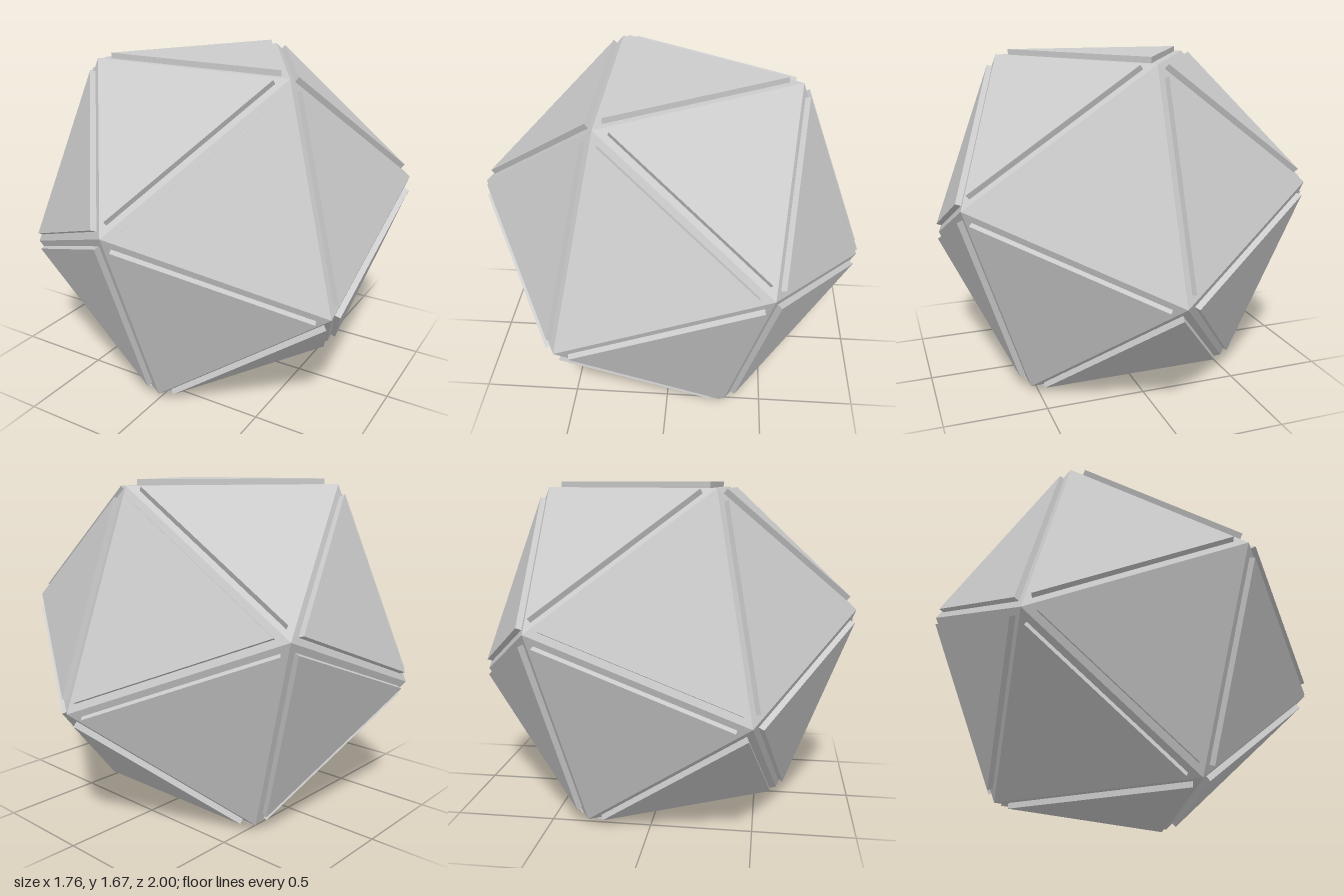
import * as THREE from 'three';
import { ConvexGeometry } from 'three/addons/geometries/ConvexGeometry.js';

const PHI = (1 + Math.sqrt(5)) / 2;
const THICK = 0.028;       // height of the raised plates
const INSET = 0.889;       // plate size relative to a face
const INRADIUS = PHI / 2;  // centre to face when the widest ring has radius 1
const CENTRE_Y = INRADIUS + THICK;

export function createModel() {
  const group = new THREE.Group();
  const material = new THREE.MeshStandardMaterial({ color: 0xcccccc, flatShading: true });
  const add = (geometry, name) => {
    const mesh = new THREE.Mesh(geometry, material);
    mesh.name = name;
    mesh.position.y = CENTRE_Y;
    group.add(mesh);
  };

  // Icosahedron resting on a face: four triangular rings of corners [radius, y, start angle]
  const midY = INRADIUS / (PHI * PHI * PHI);
  const rings = [
    [1 / PHI, INRADIUS, 0],
    [1, midY, Math.PI / 3],
    [1, -midY, 0],
    [1 / PHI, -INRADIUS, Math.PI / 3],
  ];
  const corners = [];
  for (const [r, y, start] of rings) {
    for (let i = 0; i < 3; i++) {
      const a = start + (i * 2 * Math.PI) / 3;
      corners.push(new THREE.Vector3(r * Math.sin(a), y, -r * Math.cos(a)));
    }
  }
  const core = new ConvexGeometry(corners);
  add(core, 'core');

  // One raised triangular plate on every face
  const pos = core.attributes.position;
  for (let f = 0; f < pos.count; f += 3) {
    const tri = [0, 1, 2].map((k) => new THREE.Vector3().fromBufferAttribute(pos, f + k));
    const mid = tri[0].clone().add(tri[1]).add(tri[2]).divideScalar(3);
    const lift = mid.clone().setLength(THICK);
    const base = tri.map((p) => p.clone().lerp(mid, 1 - INSET));
    const top = base.map((p) => p.clone().add(lift));
    add(new ConvexGeometry([...base, ...top]), `facePlate${f / 3 + 1}`);
  }
  return group;
}
